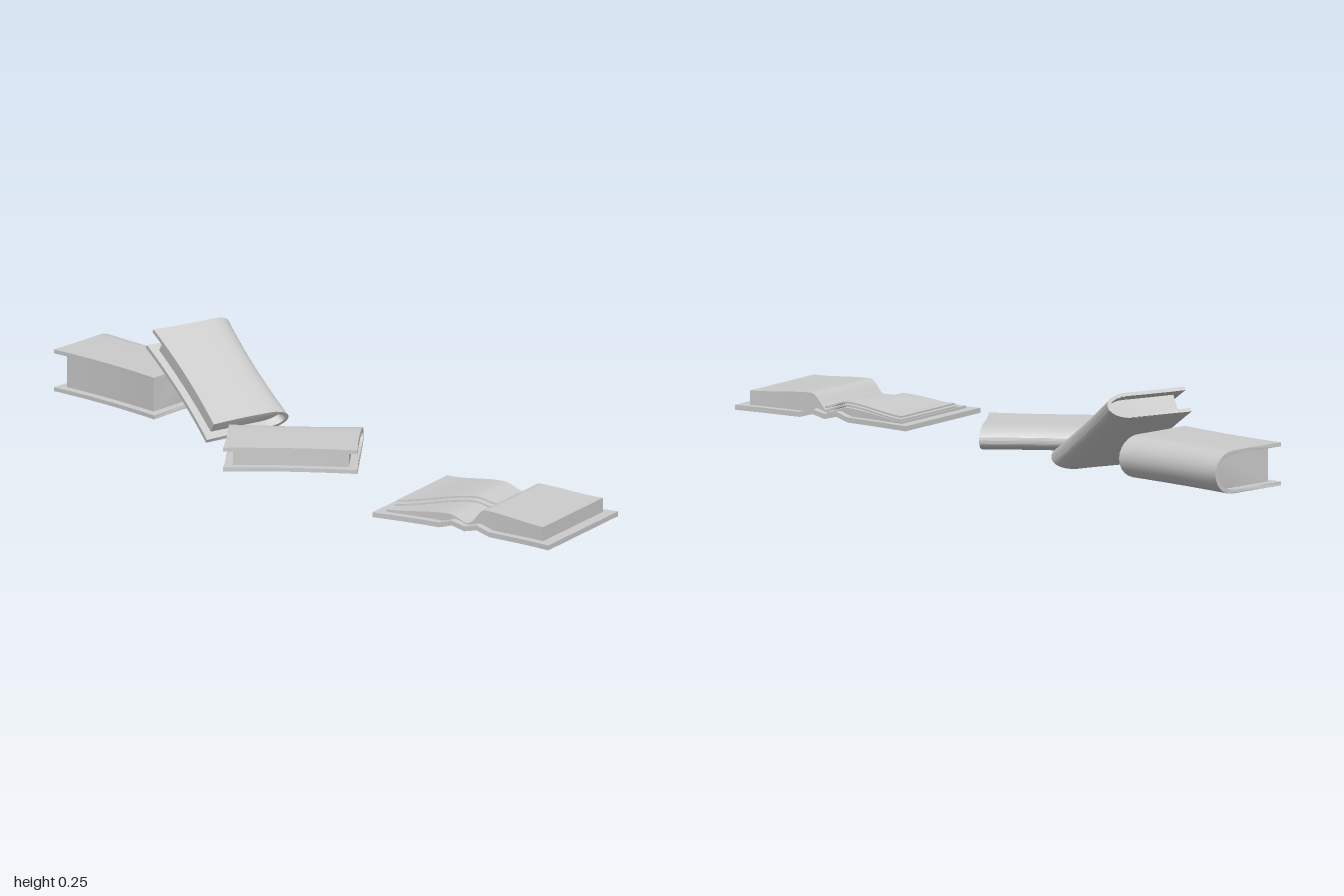
import * as THREE from 'three';
import { toCreasedNormals } from 'three/addons/utils/BufferGeometryUtils.js';

const material = new THREE.MeshStandardMaterial({ color: 0xcccccc, side: THREE.DoubleSide });
const rad = THREE.MathUtils.degToRad;

// Move every vertex by a rule, then smooth the gentle bends only
function warp(geometry, rule) {
  const p = geometry.attributes.position;
  for (let i = 0; i < p.count; i++) p.setXYZ(i, ...rule(p.getX(i), p.getY(i), p.getZ(i)));
  return toCreasedNormals(geometry, rad(38));
}

function part(name, geometry) {
  const mesh = new THREE.Mesh(geometry, material);
  mesh.name = name;
  return mesh;
}

// Half outline of a closed book, from fore edge to rounded spine and back
function outline(fore, back, half, round) {
  const pts = [];
  for (let i = 0; i < 4; i++) pts.push([fore + (back - round - fore) * i / 4, -half]);
  for (let i = 0; i <= 12; i++) {
    const a = -Math.PI / 2 + Math.PI * i / 12;
    pts.push([back - round + round * Math.cos(a), half * Math.sin(a)]);
  }
  for (let i = 3; i >= 0; i--) pts.push([fore + (back - round - fore) * i / 4, half]);
  return pts.map(([x, y]) => new THREE.Vector2(x, y));
}

// Extrude an outline along the spine, with the sides drawn in slightly
function bookSolid(points, length, depth, fullLength) {
  const g = new THREE.ExtrudeGeometry(new THREE.Shape(points), { depth: length, steps: 10, bevelEnabled: false });
  g.translate(0, 0, -length / 2).rotateY(Math.PI / 2);
  return warp(g, (x, y, z) => [
    x * (1 - 0.02 * (1 - (2 * z / depth) ** 2)),
    y,
    z * (1 - 0.065 * (1 - (2 * x / fullLength) ** 2)),
  ]);
}

function closedBook(name, length, depth, thick, position, yaw, roll) {
  const group = new THREE.Group();
  group.name = name;
  const board = 0.011, h = thick / 2, d = depth / 2;
  // Cover wraps round the spine; pages sit recessed inside it
  const outer = outline(-d, d, h, 0.07);
  const inner = outline(-d, d - board, h - board, 0.06).reverse();
  group.add(part('cover', bookSolid([...outer, ...inner], length, depth, length)));
  const block = outline(-d + 0.024, d - board - 0.001, h - board + 0.001, 0.06);
  group.add(part('pages', bookSolid(block, length - 0.05, depth, length)));
  group.position.set(...position);
  group.rotation.set(0, rad(yaw), rad(roll), 'YXZ');
  return group;
}

// Smooth height curve through a few [x, y] points
function curve(points) {
  return (x) => {
    let i = 1;
    while (i < points.length - 1 && x > points[i][0]) i++;
    const [x0, y0] = points[i - 1], [x1, y1] = points[i];
    return THREE.MathUtils.lerp(y0, y1, THREE.MathUtils.smoothstep(x, x0, x1));
  };
}

// Slab over an x range with rules for its bottom, top, back and front
function slab(x0, x1, bottom, top, back, front) {
  return warp(new THREE.BoxGeometry(1, 1, 1, 28, 1, 6), (u, v, w) => {
    const x = x0 + (x1 - x0) * (u + 0.5);
    const z = THREE.MathUtils.lerp(back(x), front(x), w + 0.5);
    const pinch = 1 - 0.11 * (1 - (x / 0.285) ** 2);
    return [x, v < 0 ? bottom(x) : top(x), z * pinch];
  });
}

function openBook() {
  const group = new THREE.Group();
  group.name = 'openBook';
  const under = curve([[-0.285, 0.015], [-0.08, 0.016], [-0.04, 0.028], [0, 0.018], [0.04, 0.028], [0.08, 0.016], [0.285, 0.018]]);
  const over = (x) => under(x) + 0.014;
  const at = (v) => () => v;
  group.add(part('openCover', slab(-0.285, 0.285, under, over, at(-0.18), at(0.18))));

  // Thick page block on the right
  const rightTop = curve([[0, 0.036], [0.055, 0.083], [0.252, 0.072]]);
  group.add(part('rightPages', slab(0, 0.252, over, rightTop, at(-0.158), at(0.158))));

  // Thin page block on the left
  const leftTop = curve([[-0.255, 0.036], [-0.06, 0.053], [0, 0.036]]);
  group.add(part('leftPages', slab(-0.255, 0, over, leftTop, at(-0.158), at(0.158))));

  // Lifted leaves on the left, their front edges running diagonally
  const leaf = curve([[-0.255, 0.05], [-0.06, 0.07], [0.012, 0.05]]);
  for (const [drop, shift] of [[0, 0], [0.009, 0.012]]) {
    group.add(part('liftedLeaf', slab(-0.252, 0.012,
      (x) => leaf(x) - drop - 0.005, (x) => leaf(x) - drop,
      at(-0.156), (x) => -0.01 - 0.47 * x + shift)));
  }
  group.position.set(0.665, 0, -0.055);
  group.rotation.y = rad(22.5);
  return group;
}

export function createModel() {
  const model = new THREE.Group();
  model.name = 'scatteredBooks';
  model.add(
    closedBook('thickBook', 0.374, 0.255, 0.12, [-0.79, 0.075, 0.126], 12.3, 0),
    closedBook('leaningBook', 0.36, 0.256, 0.075, [-0.493, 0.128, 0.055], -2.5, -32),
    closedBook('thinBook', 0.37, 0.256, 0.068, [-0.08, 0.049, 0.097], 51, 0),
    openBook(),
  );
  return model;
}
